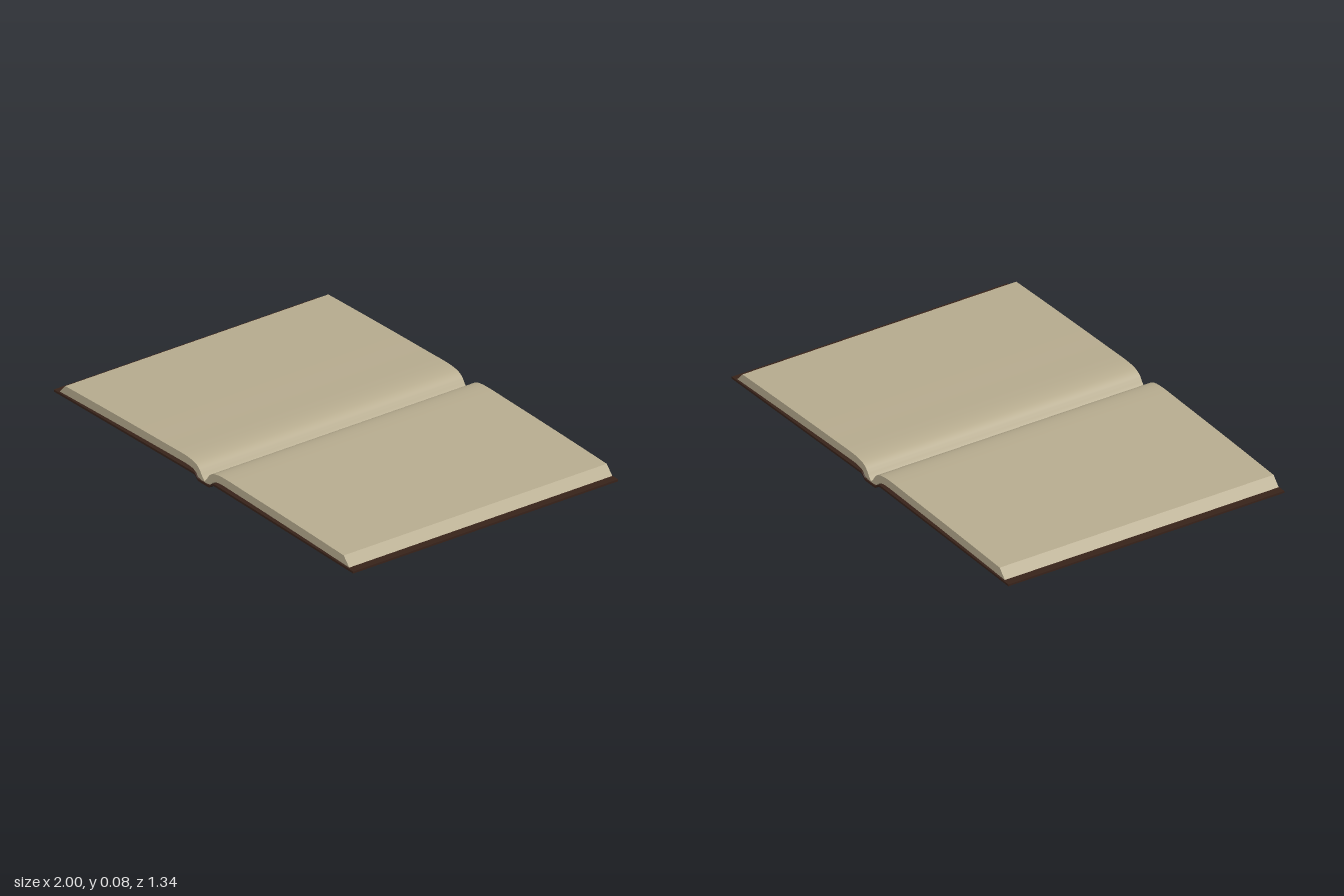
import * as THREE from 'three';
import { toCreasedNormals } from 'three/addons/utils/BufferGeometryUtils.js';

const paper = new THREE.MeshStandardMaterial({ color: 0xb8ad90 });
const leather = new THREE.MeshStandardMaterial({ color: 0x38231a });

// Extrude an x-y outline along z, centred, with smooth curves and sharp edges
function slab(name, points, depth, material) {
  const geo = new THREE.ExtrudeGeometry(new THREE.Shape(points), { depth, bevelEnabled: false });
  geo.translate(0, 0, -depth / 2);
  const mesh = new THREE.Mesh(toCreasedNormals(geo, 0.5), material);
  mesh.name = name;
  return mesh;
}

const v = (x, y) => new THREE.Vector2(x, y);
const mirrorX = (points) => points.map((p) => v(-p.x, p.y));

// One page block: gently sloping top, rolled into the gutter, slanted fore edge
function pageOutline() {
  const s = new THREE.Shape();
  s.moveTo(0, 0.014);
  s.bezierCurveTo(0.025, 0.03, 0.022, 0.055, 0.06, 0.07);
  s.bezierCurveTo(0.1, 0.082, 0.15, 0.08, 0.25, 0.077);
  s.quadraticCurveTo(0.6, 0.071, 0.93, 0.06);
  s.lineTo(0.967, 0.02);
  s.quadraticCurveTo(0.5, 0.036, 0.16, 0.043);
  s.bezierCurveTo(0.07, 0.046, 0.06, 0.036, 0.045, 0.018);
  s.quadraticCurveTo(0.035, 0.008, 0, 0.009);
  return s.getPoints(10);
}

// Half of the cover's upper surface, from the spine out to the edge
function coverLine() {
  const s = new THREE.Path();
  s.moveTo(0, 0.009);
  s.lineTo(0.03, 0.009);
  s.bezierCurveTo(0.05, 0.009, 0.045, 0.03, 0.075, 0.029);
  s.lineTo(1, 0.017);
  return s.getPoints(8);
}

export function createModel() {
  const book = new THREE.Group();
  book.name = 'openBook';

  // Page blocks
  const pages = pageOutline();
  book.add(slab('leftPages', pages, 1.33, paper));
  book.add(slab('rightPages', mirrorX(pages), 1.33, paper));

  // Cover with a sunken spine
  const half = coverLine();
  const upper = [...mirrorX(half).reverse(), ...half.slice(1)];
  const lower = upper.map((p) => v(p.x, p.y - 0.009)).reverse();
  book.add(slab('cover', [...upper, ...lower], 1.34, leather));

  return book;
}
